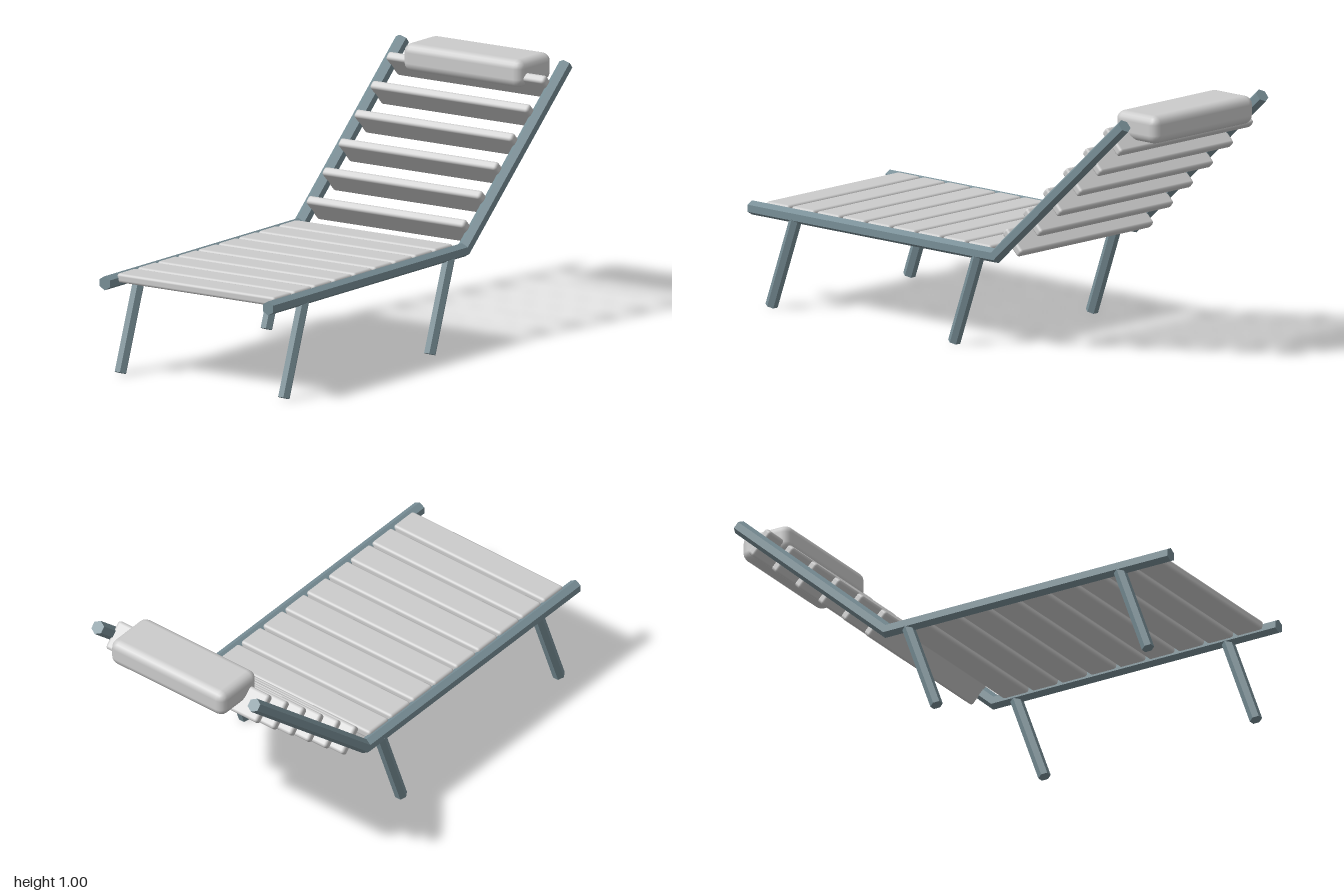
import * as THREE from 'three';
import { RoundedBoxGeometry } from 'three/addons/geometries/RoundedBoxGeometry.js';

const frameMat = new THREE.MeshStandardMaterial({ color: 0x788e96, flatShading: true });
const padMat = new THREE.MeshStandardMaterial({ color: 0xcccccc });

// Hexagonal bar along a path of [z, y] points, mitred at bends and capped.
// turn = rotation of the hexagon about the bar's own axis.
function hexBar(path, r, turn) {
  const pts = path.map(([z, y]) => new THREE.Vector3(0, y, z));
  const xAxis = new THREE.Vector3(1, 0, 0);
  const normals = pts.slice(1).map((p, i) => p.clone().sub(pts[i]).normalize().cross(xAxis));

  // One hexagonal ring per path point, lying in the mitre plane
  const rings = pts.map((p, i) => {
    const a = normals[Math.max(i - 1, 0)], b = normals[Math.min(i, normals.length - 1)];
    const v = a.clone().add(b).normalize();
    v.divideScalar(v.dot(a));
    return Array.from({ length: 6 }, (_, j) => {
      const t = turn + (j * Math.PI) / 3;
      return p.clone().addScaledVector(xAxis, r * Math.cos(t)).addScaledVector(v, r * Math.sin(t));
    });
  });

  const pos = [];
  const tri = (...corners) => corners.forEach((c) => pos.push(c.x, c.y, c.z));
  const first = rings[0], last = rings[rings.length - 1];
  for (let j = 0; j < 6; j++) {
    const k = (j + 1) % 6;
    for (let i = 0; i < rings.length - 1; i++) {
      const a = rings[i], b = rings[i + 1];
      tri(a[j], a[k], b[k]);
      tri(a[j], b[k], b[j]);
    }
    tri(pts[0], first[k], first[j]);
    tri(pts[pts.length - 1], last[j], last[k]);
  }
  const geo = new THREE.BufferGeometry();
  geo.setAttribute('position', new THREE.Float32BufferAttribute(pos, 3));
  geo.computeVertexNormals();
  return geo;
}

export function createModel() {
  const model = new THREE.Group();
  const add = (name, geo, mat, x, y, z) => {
    const mesh = new THREE.Mesh(geo, mat);
    mesh.name = name;
    mesh.position.set(x, y, z);
    model.add(mesh);
    return mesh;
  };

  // Side rails bent up into the backrest, and slanted legs
  const rail = hexBar([[1, 0.373], [-0.272, 0.373], [-0.938, 0.973]], 0.0275, Math.PI / 6);
  const leg = hexBar([[0, 0.365], [0.128, 0.0075]], 0.0245, 0);
  for (const [side, x] of [['left', 0.381], ['right', -0.381]]) {
    add(side + 'Rail', rail, frameMat, x, 0, 0);
    add(side + 'FrontLeg', leg, frameMat, x, 0, 0.77);
    add(side + 'BackLeg', leg, frameMat, x, 0, -0.18);
  }

  // Seat slats
  const slat = new RoundedBoxGeometry(0.736, 0.036, 0.117, 2, 0.011);
  for (let i = 0; i < 9; i++) {
    add('seatSlat' + (i + 1), slat, padMat, 0, 0.385, -0.167 + i * 0.1313);
  }

  // Backrest slats, each set across the slope of the rails
  for (let i = 0; i < 6; i++) {
    const s = add('backSlat' + (i + 1), slat, padMat, 0, 0.43 + i * 0.0932, -0.338 - i * 0.104);
    s.rotation.x = -Math.PI / 4;
  }

  // Headrest pillow
  const pillow = new RoundedBoxGeometry(0.556, 0.109, 0.216, 2, 0.034);
  add('headrestPillow', pillow, padMat, 0, 0.943, -0.892);
  return model;
}
